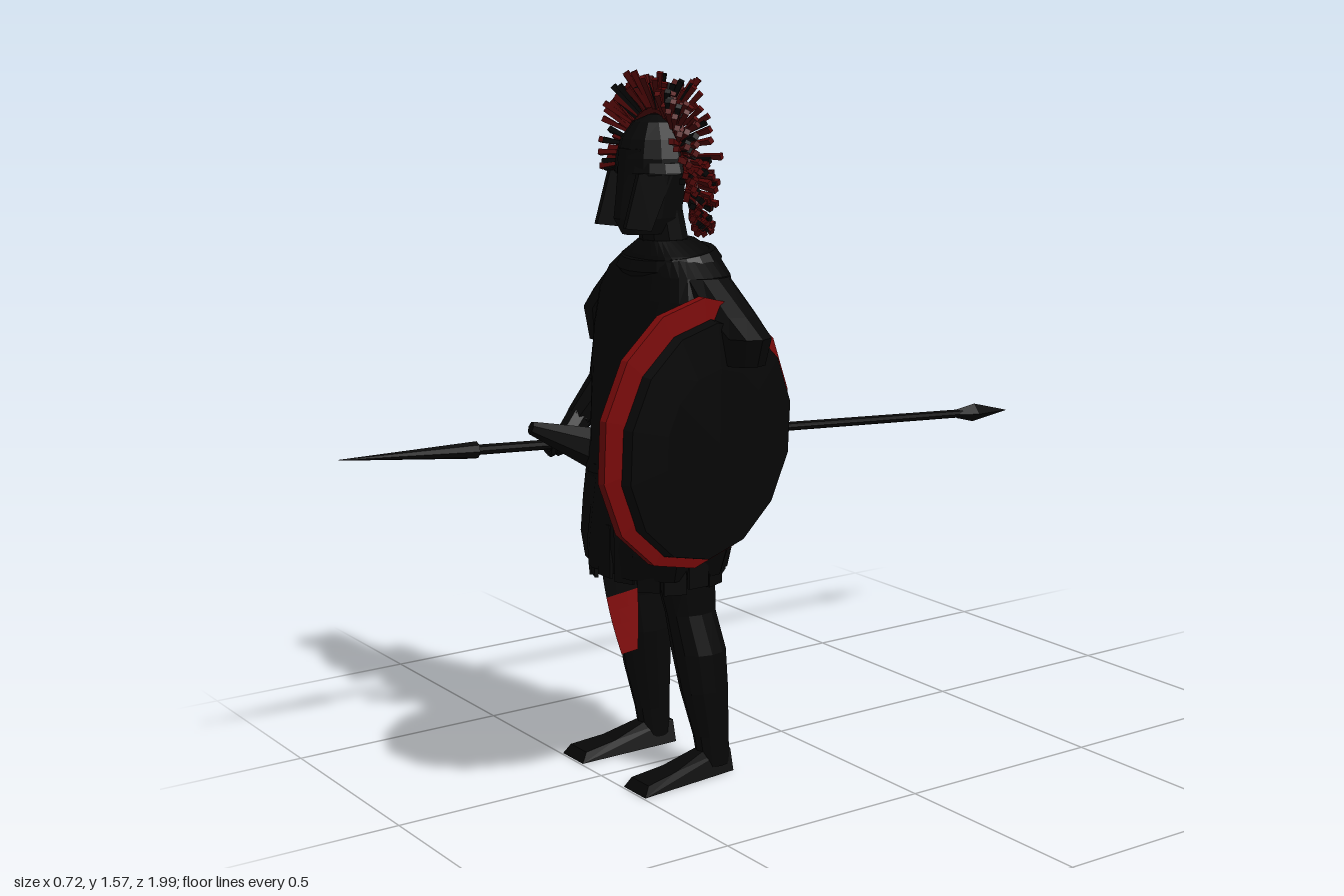
import * as THREE from 'three';
import { mergeGeometries } from 'three/addons/utils/BufferGeometryUtils.js';

const mat = (name, color) =>
  new THREE.MeshStandardMaterial({ name, color, side: THREE.DoubleSide, flatShading: true });
const V = (x, y, z) => new THREE.Vector3(x, y, z);

// Closed skin through horizontal rings [y, cx, cz, rx, rz, fold]; power below 1 squares the rings
function loft(rows, n = 16, power = 1, folds = 9) {
  const pos = [], idx = [];
  const bend = (c) => Math.sign(c) * Math.pow(Math.abs(c), power);
  for (const [y, cx, cz, rx, rz, fold = 0] of rows) {
    for (let i = 0; i < n; i++) {
      const a = (i / n) * Math.PI * 2, k = 1 + fold * Math.sin(a * folds + y * 9);
      pos.push(cx + bend(Math.cos(a)) * rx * k, y, cz + bend(Math.sin(a)) * rz * k);
    }
  }
  const last = rows.length - 1;
  for (const r of [0, last]) pos.push(rows[r][1], rows[r][0], rows[r][2]);
  const c0 = rows.length * n;
  for (let i = 0; i < n; i++) {
    const j = (i + 1) % n;
    for (let r = 0; r < last; r++) {
      const a = r * n + i, b = r * n + j;
      idx.push(a, a + n, b, b, a + n, b + n);
    }
    idx.push(c0, i, j, c0 + 1, last * n + j, last * n + i);
  }
  const g = new THREE.BufferGeometry();
  g.setAttribute('position', new THREE.Float32BufferAttribute(pos, 3));
  g.setIndex(idx);
  g.computeVertexNormals();
  return g;
}

// Tapered rod between two points
function rod(a, b, ra, rb, n = 8) {
  const d = b.clone().sub(a);
  const g = new THREE.CylinderGeometry(rb, ra, d.length(), n);
  g.applyQuaternion(new THREE.Quaternion().setFromUnitVectors(V(0, 1, 0), d.normalize()));
  const m = a.clone().add(b).multiplyScalar(0.5);
  return g.translate(m.x, m.y, m.z);
}

// Cloth sheet whose points follow f(u, v)
function sheet(f, nu, nv) {
  const g = new THREE.PlaneGeometry(1, 1, nu, nv), p = g.attributes.position;
  for (let i = 0; i < p.count; i++) p.setXYZ(i, ...f(p.getX(i) + 0.5, 0.5 - p.getY(i)));
  g.computeVertexNormals();
  return g;
}

export function createModel() {
  const root = new THREE.Group();
  const black = mat('black cloth', 0x050505);
  const dark = mat('dark armour', 0x070707);
  const red = mat('red', 0x7a0a0a);
  const crestRed = mat('crest red', 0x540707);
  const add = (name, geo, material, parent = root) => {
    const m = new THREE.Mesh(geo, material);
    m.name = name;
    parent.add(m);
    return m;
  };
  let seed = 7;
  const rnd = () => (seed = (seed * 16807) % 2147483647) / 2147483647;

  // Legs and feet
  for (const s of [-1, 1]) {
    const side = s > 0 ? 'left' : 'right';
    add(side + 'Leg', loft([
      [0.02, s * 0.122, 0.278, 0.03, 0.038], [0.09, s * 0.122, 0.285, 0.033, 0.043],
      [0.2, s * 0.118, 0.3, 0.047, 0.057], [0.29, s * 0.113, 0.31, 0.055, 0.063],
      [0.38, s * 0.103, 0.325, 0.046, 0.06], [0.46, s * 0.1, 0.335, 0.056, 0.07],
      [0.56, s * 0.095, 0.335, 0.07, 0.085]], 12), dark);
    const shape = new THREE.Shape([[0.24, 0], [0.24, 0.05], [0.32, 0.058], [0.4, 0.033], [0.48, 0.022], [0.495, 0]]
      .map(([x, y]) => new THREE.Vector2(x, y)));
    const foot = new THREE.ExtrudeGeometry(shape, { depth: 0.07, bevelEnabled: false });
    foot.translate(0, 0, -0.035).rotateY(-Math.PI / 2);
    const p = foot.attributes.position;
    for (let i = 0; i < p.count; i++) {
      const t = (p.getZ(i) - 0.24) / 0.25;
      p.setX(i, p.getX(i) * (0.8 + 0.45 * t) * (1 - 9 * p.getY(i)) + s * (0.118 + 0.014 * t));
    }
    foot.computeVertexNormals();
    add(side + 'Foot', foot, dark);
  }

  // Draped tunic from hem to collar
  add('tunic', loft([
    [0.47, -0.005, 0.345, 0.168, 0.135, 0.05], [0.53, 0, 0.345, 0.183, 0.142, 0.05],
    [0.62, 0, 0.345, 0.178, 0.135, 0.04], [0.69, -0.005, 0.352, 0.158, 0.122, 0.03],
    [0.75, 0, 0.372, 0.138, 0.1, 0.02], [0.84, 0, 0.375, 0.14, 0.093, 0.02],
    [0.92, 0, 0.358, 0.16, 0.1], [1.0, 0, 0.335, 0.187, 0.104], [1.08, 0, 0.315, 0.2, 0.1],
    [1.13, 0, 0.305, 0.175, 0.095], [1.17, 0, 0.3, 0.115, 0.085], [1.2, 0, 0.31, 0.055, 0.06]], 36, 0.8), black);
  // Hanging strips along the hem
  const strips = [];
  for (let i = 0; i < 16; i++) {
    const a = (i / 16) * Math.PI * 2;
    strips.push(new THREE.BoxGeometry(0.05, 0.12, 0.008).rotateY(Math.PI / 2 - a)
      .translate(Math.cos(a) * 0.165, 0.51 + 0.012 * Math.sin(i * 5), 0.345 + Math.sin(a) * 0.135));
  }
  add('skirtStrips', mergeGeometries(strips), dark);
  // Belt roll, pointed fold at the right side of the waist and collar
  add('beltRoll', new THREE.TorusGeometry(0.14, 0.02, 6, 24).rotateX(Math.PI / 2).scale(1.06, 1, 0.82)
    .rotateZ(0.1).translate(-0.01, 0.69, 0.352), black);
  add('waistFold', rod(V(-0.13, 0.72, 0.42), V(-0.16, 0.78, 0.57), 0.05, 0.015, 7), black);
  add('collarRoll', new THREE.TorusGeometry(0.095, 0.026, 6, 20).rotateX(Math.PI / 2 + 0.12)
    .scale(1.15, 1, 0.88).translate(0, 1.15, 0.305), black);

  // Cape swept to the right side, its lining reaching lower than the outside
  const cape = (low, off) => (u, v) => {
    const y = 1.15 - v * (1.15 - low), t = u * 2 - 1;
    const k = THREE.MathUtils.smoothstep(y, 0.42, 0.8);
    const outer = -Math.min(0.13 + v * 0.4, 0.13 + 0.073 * k);
    const inner = 0.005 + 0.12 * THREE.MathUtils.smoothstep(y, 0.86, 1.06);
    return [outer + (inner - outer) * u, y + 0.05 * t * t * (1 - k),
      0.2 + off + t * t * 0.075 + 0.007 * Math.sin(u * 24)];
  };
  add('capeOutside', sheet(cape(0.38, 0), 16, 12), black);
  add('capeLining', sheet(cape(0.32, 0.007), 16, 12), red);
  // Cloth end hanging between the legs, dark above and red below
  const hanging = (v0, v1) => (u, w) => {
    const v = v0 + (v1 - v0) * w;
    return [-0.05 + 0.05 * v + 0.04 * (u - 0.5) * (1 - v * 0.7), 0.5 - 0.225 * v,
      0.42 + (u - 0.5) * (0.11 - 0.06 * v * v)];
  };
  add('hangingCloth', sheet(hanging(0, 0.42), 3, 3), black);
  add('hangingClothEnd', sheet(hanging(0.42, 1), 3, 4), red);

  // Sleeves
  add('rightSleeve', loft([[0.945, -0.252, 0.305, 0.035, 0.05], [1.02, -0.252, 0.305, 0.062, 0.06],
    [1.06, -0.21, 0.305, 0.065, 0.06], [1.13, -0.14, 0.305, 0.05, 0.055]], 10), black);
  add('leftSleeve', loft([[0.96, 0.29, 0.305, 0.045, 0.045], [1.02, 0.285, 0.305, 0.07, 0.055],
    [1.06, 0.225, 0.305, 0.07, 0.06], [1.13, 0.14, 0.305, 0.05, 0.055]], 10), black);

  // Arms and hands
  const arm = (name, pts, radii) => {
    const g = new THREE.Group();
    g.name = name;
    root.add(g);
    for (let i = 0; i < pts.length - 1; i++) {
      add('segment', rod(pts[i], pts[i + 1], radii[i], radii[i + 1]), dark, g);
      add('joint', new THREE.SphereGeometry(radii[i + 1], 8, 6).translate(...pts[i + 1].toArray()), dark, g);
    }
    return g;
  };
  const right = arm('rightArm', [V(-0.235, 1, 0.3), V(-0.265, 0.84, 0.31), V(-0.285, 0.76, 0.37), V(-0.27, 0.71, 0.42)],
    [0.048, 0.042, 0.032, 0.03]);
  for (let i = 0; i < 4; i++) {
    add('finger', new THREE.TorusGeometry(0.019, 0.008, 5, 8).translate(-0.275, 0.704, 0.395 + i * 0.02), dark, right);
  }
  arm('leftArm', [V(0.225, 1.02, 0.3), V(0.2, 0.84, 0.29), V(0.212, 0.8, 0.43)], [0.045, 0.034, 0.028]);

  // Spear
  const tail = V(-0.345, 0.605, -1), tip = V(-0.25, 0.745, 0.99);
  const at = (t) => tail.clone().lerp(tip, t);
  const spear = new THREE.Group();
  spear.name = 'spear';
  root.add(spear);
  add('shaft', rod(at(0.05), at(0.84), 0.011, 0.012), dark, spear);
  add('tip', rod(at(0.83), tip, 0.02, 0.001), dark, spear);
  add('tailBladeBack', rod(tail, at(0.06), 0.001, 0.024, 4), dark, spear);
  add('tailBladeFront', rod(at(0.06), at(0.09), 0.024, 0.012, 4), dark, spear);

  // Round shield, its face set low and back on the rim
  const shield = new THREE.Group();
  shield.name = 'shield';
  const lathe = (pts) => new THREE.LatheGeometry(pts.map(([r, y]) => new THREE.Vector2(r, y)), 14);
  shield.quaternion.setFromUnitVectors(V(0, 1, 0), V(0.968, -0.04, -0.245).normalize());
  shield.position.set(0.238, 0.813, 0.397);
  const face = add('shieldFace', lathe([[0.262, 0.008], [0.256, 0.04], [0.16, 0.053], [0, 0.058]]), dark, shield);
  face.position.set(-0.003, -0.014, -0.012).applyQuaternion(shield.quaternion.clone().invert());
  add('shieldRim', lathe([[0.245, -0.006], [0.293, -0.006], [0.293, 0.012], [0.235, 0.02]]), red, shield);
  add('shieldBack', lathe([[0, 0.02], [0.2, 0.012], [0.248, -0.005]]), black, shield);
  root.add(shield);

  // Neck, face and helmet
  add('neck', rod(V(0, 1.15, 0.31), V(0, 1.27, 0.33), 0.055, 0.05, 10), dark);
  add('head', loft([[1.215, 0, 0.36, 0.042, 0.06], [1.25, 0, 0.358, 0.056, 0.082],
    [1.32, 0, 0.35, 0.064, 0.08], [1.4, 0, 0.342, 0.07, 0.08]], 14), dark);
  add('helmetBowl', loft([[1.345, 0, 0.335, 0.092, 0.09], [1.38, 0, 0.335, 0.09, 0.088],
    [1.42, 0, 0.335, 0.078, 0.076], [1.455, 0, 0.335, 0.05, 0.05], [1.47, 0, 0.335, 0.015, 0.015]], 14), dark);
  add('helmetBrim', new THREE.CylinderGeometry(0.094, 0.102, 0.022, 16).scale(1, 1, 0.85).translate(0, 1.36, 0.338), dark);
  for (const s of [-1, 1]) {
    const guard = new THREE.Shape([[0.33, 1.35], [0.42, 1.35], [0.455, 1.235], [0.39, 1.225]]
      .map(([z, y]) => new THREE.Vector2(z, y)));
    add('cheekGuard', new THREE.ExtrudeGeometry(guard, { depth: 0.012, bevelEnabled: false })
      .rotateY(-Math.PI / 2).translate(s * 0.058 + 0.006, 0, 0), dark);
  }

  // Side-to-side crest: a curved core bristling with tufts
  const spine = new THREE.CatmullRomCurve3([V(-0.14, 1.235, 0.325), V(-0.138, 1.32, 0.325), V(-0.105, 1.425, 0.328),
    V(0, 1.485, 0.33), V(0.085, 1.435, 0.328), V(0.122, 1.33, 0.325), V(0.155, 1.23, 0.325)]);
  add('crestCore', new THREE.TubeGeometry(spine, 30, 0.014, 6), crestRed);
  const tufts = [[], []];
  for (let i = 0; i < 260; i++) {
    const t = (i + 0.5) / 260, p = spine.getPointAt(t), g = spine.getTangentAt(t);
    const top = Math.sin(t * Math.PI), lean = (rnd() - 0.5) * 2;
    const out = V(-g.y, g.x, 0).add(V(0, -0.9 * (1 - top), 0)).normalize();
    const end = p.clone().addScaledVector(out, 0.014 + 0.062 * top * (0.55 + 0.5 * rnd()));
    end.z += lean * (0.022 + 0.04 * top);
    end.x += (rnd() - 0.5) * 0.03 * top;
    p.z += lean * 0.018;
    tufts[i % 4 === 0 ? 1 : 0].push(rod(p, end, 0.005, 0.009, 4));
  }
  add('crestTufts', mergeGeometries(tufts[0]), crestRed);
  add('crestDarkTufts', mergeGeometries(tufts[1]), black);

  return root;
}
